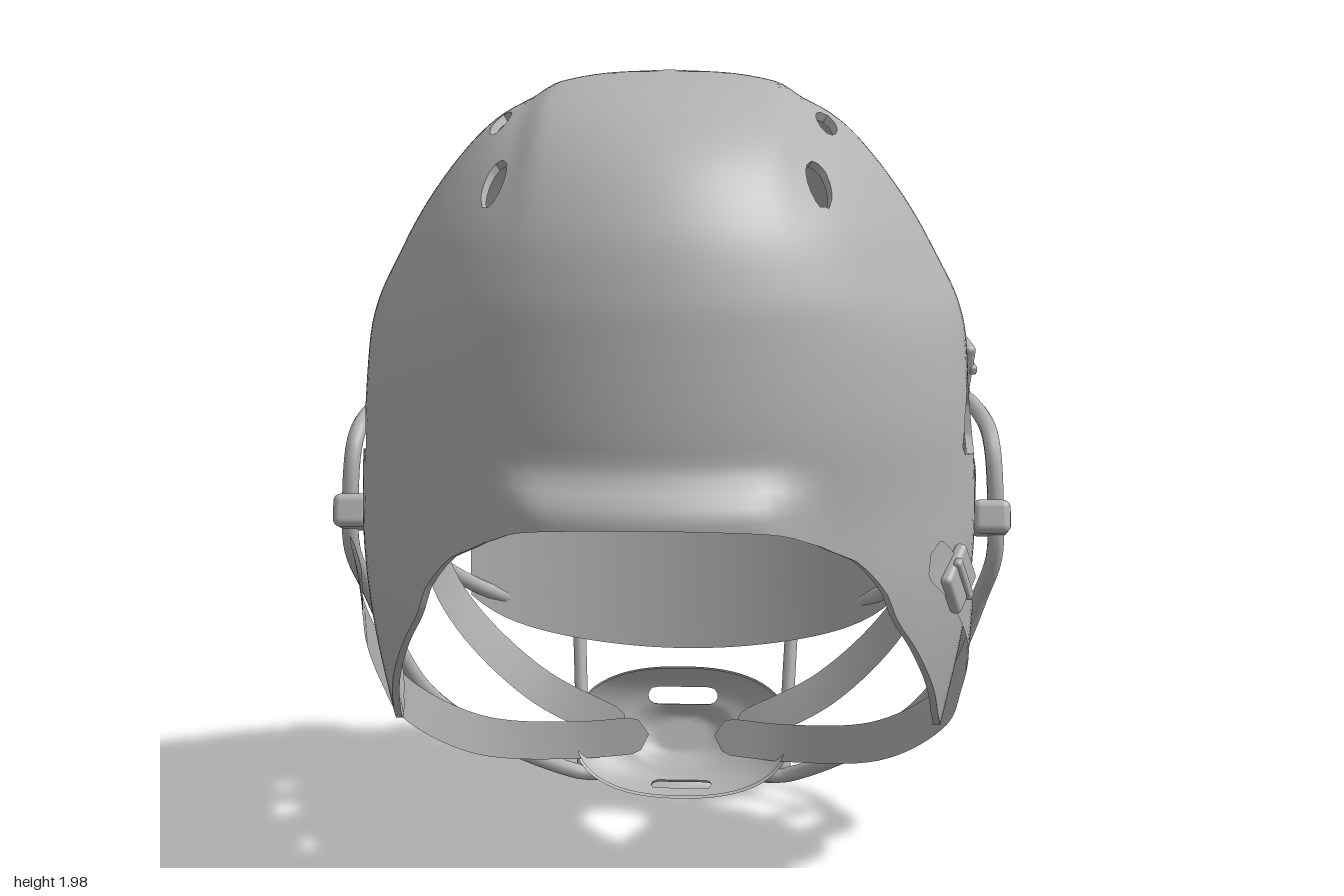
import * as THREE from 'three';
import { toCreasedNormals } from 'three/addons/utils/BufferGeometryUtils.js';
import { RoundedBoxGeometry } from 'three/addons/geometries/RoundedBoxGeometry.js';
import { ParametricGeometry } from 'three/addons/geometries/ParametricGeometry.js';

const V = (x, y, z) => new THREE.Vector3(x, y, z);
const { smoothstep, clamp, lerp } = THREE.MathUtils;

// Two-skinned wall over a grid, trimmed where keep(point) < 0, with rims along the cuts
function trimmedWall(rows, cols, skin, keep) {
  const out = [];
  const tri = (a, b, c) => out.push(...a.toArray(), ...b.toArray(), ...c.toArray());
  const vert = (i, j) => {
    const [o, n] = skin(i / rows, (j % cols) / cols);
    return { o, n, f: keep(o) };
  };
  const grid = [];
  for (let i = 0; i <= rows; i++) {
    grid.push([]);
    for (let j = 0; j <= cols; j++) grid[i].push(vert(i, j));
  }
  const clip = (t) => {
    const poly = [], cut = [];
    t.forEach((a, k) => {
      const b = t[(k + 1) % 3];
      if (a.f >= 0) poly.push(a);
      if ((a.f >= 0) !== (b.f >= 0)) {
        const s = a.f / (a.f - b.f);
        const m = { o: a.o.clone().lerp(b.o, s), n: a.n.clone().lerp(b.n, s), leaving: a.f >= 0 };
        poly.push(m);
        cut.push(m);
      }
    });
    for (let k = 1; k + 1 < poly.length; k++) {
      tri(poly[0].o, poly[k].o, poly[k + 1].o);
      tri(poly[0].n, poly[k + 1].n, poly[k].n);
    }
    if (cut.length === 2) {
      const [a, b] = cut[0].leaving ? cut : [cut[1], cut[0]];
      tri(b.o, a.o, a.n);
      tri(b.o, a.n, b.n);
    }
  };
  for (let i = 0; i < rows; i++) for (let j = 0; j < cols; j++) {
    const a = grid[i][j], b = grid[i + 1][j], c = grid[i + 1][j + 1], d = grid[i][j + 1];
    if (i > 0) clip([a, c, d]);
    clip([a, b, c]);
  }
  const g = new THREE.BufferGeometry();
  g.setAttribute('position', new THREE.Float32BufferAttribute(out, 3));
  return toCreasedNormals(g, 0.7);
}

// Shell sections: height, half width, face-side z, nape-side z
const SECTIONS = [
  [2, 0, 0, 0], [1.99, 0.17, -0.13, 0.16], [1.96, 0.3, -0.25, 0.35], [1.9, 0.42, -0.385, 0.525],
  [1.8, 0.52, -0.5, 0.662], [1.66, 0.62, -0.62, 0.755], [1.52, 0.692, -0.71, 0.797], [1.4, 0.73, -0.757, 0.81],
  [1.2, 0.76, -0.78, 0.815], [1, 0.765, -0.79, 0.8], [0.8, 0.76, -0.79, 0.8],
  [0.6, 0.735, -0.78, 0.78], [0.34, 0.68, -0.75, 0.74],
];
const depthCurve = new THREE.CatmullRomCurve3(SECTIONS.map(([y, , f, b]) => V(f, y, b)), false, 'catmullrom');
const widthCurve = new THREE.CatmullRomCurve3(SECTIONS.map(([y, w]) => V(w, y, 0)), false, 'catmullrom');

// Lower rim height along z, from brow to jaw to nape
const RIM = [[-0.9, 1.22], [-0.6, 1.2], [-0.4, 1.15], [-0.28, 1.05], [-0.2, 0.85], [-0.13, 0.6], [-0.04, 0.44],
  [0.04, 0.39], [0.11, 0.38], [0.22, 0.44], [0.4, 0.6], [0.53, 0.73], [0.57, 0.81], [0.63, 0.89], [0.7, 0.94], [0.78, 0.975], [0.95, 1.02]];
function rimHeight(z) {
  let k = 0;
  while (k < RIM.length - 2 && RIM[k + 1][0] < z) k++;
  const [a, b] = [RIM[k], RIM[k + 1]];
  return lerp(a[1], b[1], clamp((z - a[0]) / (b[0] - a[0]), 0, 1));
}

const VENTS = [[0, 0.365, 0.024, 0.062], [0.25, 0.387, 0.025, 0.072], [0.52, 0.372, 0.03, 0.052]];
const EAR = [[0.28, 1.09], [0.24, 1.18], [0.17, 1.25], [0.11, 1.29], [0.02, 1.275], [-0.02, 1.17], [-0.01, 1.09], [0.03, 1.06]];
function shellKeep(p) {
  let f = p.y - rimHeight(p.z);
  if (p.y > 1.5) for (const [z, x, rx, rz] of VENTS)
    f = Math.min(f, (Math.hypot((Math.abs(p.x) - x) / rx, (p.z - z) / rz) - 1) * rx);
  const ear = Math.max(...EAR.map(([z, y], k) => {
    const [z2, y2] = EAR[(k + 1) % EAR.length];
    return ((p.z - z) * (y2 - y) - (p.y - y) * (z2 - z)) / Math.hypot(z2 - z, y2 - y);
  }));
  return Math.min(f, ear);
}
function shellSkin(u, v) {
  const d = depthCurve.getPoint(u), a = v * Math.PI * 2;
  const zc = (d.x + d.z) / 2, hz = (d.z - d.x) / 2;
  let x = widthCurve.getPoint(u).x * Math.sin(a), y = d.y, z = zc + hz * Math.cos(a);
  // raised crown band, ear recess and flared nape lip
  const step = 1 - 0.024 * smoothstep(Math.abs(x), 0.26, 0.35) * smoothstep(y, 1.35, 1.6) * (1 - smoothstep(z, 0.45, 0.75));
  const recess = 1 - 0.02 * Math.exp(-(((z - 0.05) / 0.2) ** 2) - ((y - 1.2) / 0.15) ** 2);
  const lip = (1 - smoothstep(Math.abs(x), 0.24, 0.42)) * smoothstep(z, 0.6, 0.75) * (1 - smoothstep(y, 1.02, 1.13));
  x *= step * recess;
  z = zc + (z - zc) * step + 0.08 * lip;
  y = 1 + (y - 1) * (0.4 + 0.6 * step);
  return [V(x, y, z), V(x * 0.975, y - 0.02 * clamp((y - 1.2) / 0.8, 0, 1), zc + (z - zc) * 0.975)];
}

export function createModel() {
  const root = new THREE.Group();
  root.name = 'helmet';
  const grey = new THREE.MeshStandardMaterial({ color: 0xb2b2b2, side: THREE.DoubleSide });
  grey.name = 'plain grey';
  const add = (name, geometry, pos) => {
    const m = new THREE.Mesh(geometry, grey);
    m.name = name;
    if (pos) m.position.copy(pos);
    root.add(m);
    return m;
  };
  const sheet = (fn, nu, nv) => {
    const g = new ParametricGeometry(fn, nu, nv);
    g.computeVertexNormals();
    return g;
  };

  add('shell', trimmedWall(78, 144, shellSkin, shellKeep));

  // Visor: arc plate with a lower edge that rises to the sides
  add('visor', sheet((u, v, t) => {
    const x = lerp(-0.58, 0.58, u), e = Math.abs(x / 0.58);
    const low = 0.385 + 0.13 * e * e + 0.05 * e ** 8;
    t.set(x, lerp(low, 1.25, v), 0.31 - Math.sqrt(1.07 ** 2 - x * x) + 0.01);
  }, 40, 6));

  // Cage: two mirrored closed loops plus struts
  const loop = (name, half) => {
    const pts = half.map((p) => V(...p));
    const back = pts.slice(1, -1).reverse().map((p) => V(-p.x, p.y, p.z));
    const curve = new THREE.CatmullRomCurve3([...pts, ...back], true);
    add(name, new THREE.TubeGeometry(curve, 220, 0.021, 10, true));
  };
  loop('cageOuterLoop', [[0, 1.29, -0.83], [0.3, 1.28, -0.8], [0.55, 1.24, -0.66], [0.7, 1.18, -0.45], [0.79, 1.12, -0.2],
    [0.81, 1.06, -0.09], [0.82, 0.9, -0.06], [0.82, 0.78, -0.08], [0.79, 0.66, -0.16], [0.74, 0.5, -0.25],
    [0.67, 0.36, -0.31], [0.5, 0.18, -0.48], [0.29, 0.05, -0.65], [0.25, 0.045, -0.66], [0, 0.045, -0.66]]);
  loop('cageEyeLoop', [[0, 1.13, -0.86], [0.35, 1.11, -0.79], [0.6, 1.06, -0.6], [0.74, 1.02, -0.36], [0.76, 0.97, -0.29],
    [0.75, 0.84, -0.31], [0.7, 0.73, -0.4], [0.55, 0.58, -0.6], [0.3, 0.47, -0.77], [0, 0.44, -0.81]]);
  const strut = (name, a, b) => add(name, new THREE.TubeGeometry(new THREE.LineCurve3(a, b), 1, 0.018, 10));

  // Straps: ribbons lying flat around the head
  const strap = (name, pts, width) => {
    const curve = new THREE.CatmullRomCurve3(pts);
    add(name, sheet((u, v, t) => {
      const p = curve.getPoint(u);
      const across = curve.getTangent(u).cross(V(p.x, 0, p.z).normalize()).normalize();
      // rounded tips
      const tip = Math.sqrt(1 - (1 - clamp(Math.min(u, 1 - u) / 0.04, 0, 1)) ** 2);
      t.copy(p).addScaledVector(across, (v - 0.5) * width * tip);
    }, 60, 2));
  };
  const buckle = (name, x, y, z, roll) => {
    const m = add(name, new RoundedBoxGeometry(0.13, 0.12, 0.03, 2, 0.012), V(x, y, z));
    m.lookAt(x * 3, y, z * 3);
    m.rotateZ(roll);
    const bar = new THREE.Mesh(new RoundedBoxGeometry(0.025, 0.13, 0.02, 2, 0.008), grey);
    bar.name = name + 'Bar';
    bar.position.z = 0.014;
    m.add(bar);
  };

  for (const s of [-1, 1]) {
    const side = s > 0 ? 'left' : 'right';
    const P = (x, y, z) => V(s * x, y, z);
    strut(side + 'EyeStrut', P(0.55, 1.07, -0.65), P(0.5, 0.55, -0.65));
    strut(side + 'ChinStrut', P(0.3, 0.47, -0.77), P(0.28, 0.05, -0.66));
    strut(side + 'SideBrace', P(0.68, 1.04, -0.48), P(0.74, 0.5, -0.25));

    // clamp and screw holding the cage at the ear
    const clampBox = add(side + 'SideClamp', new RoundedBoxGeometry(0.095, 0.085, 0.15, 3, 0.02), P(0.807, 0.88, -0.06));
    clampBox.rotation.x = -0.25;
    const screw = add(side + 'SideScrew', new THREE.CylinderGeometry(0.022, 0.022, 0.015, 16), P(0.853, 0.87, -0.1));
    screw.rotation.z = Math.PI / 2;
    const knob = add(side + 'BrowKnob', new THREE.CylinderGeometry(0.03, 0.035, 0.04, 16), P(0.5, 1.28, -0.59));
    knob.quaternion.setFromUnitVectors(V(0, 1, 0), P(0.65, 0, -0.76).normalize());

    // the right strap tail stands away from the shell
    strap(side + 'LowerStrap', [P(s > 0 ? 0.64 : 0.73, 0.88, s > 0 ? 0.45 : 0.4), P(s > 0 ? 0.71 : 0.735, 0.78, 0.32),
      P(0.752, 0.63, 0.13), P(0.735, 0.48, -0.05), P(0.7, 0.36, -0.19), P(0.53, 0.21, -0.41), P(0.3, 0.17, -0.53),
      P(0.09, 0.18, -0.57)], 0.105);
    strap(side + 'UpperStrap', [P(0.705, 1.39, -0.2), P(0.74, 1.25, -0.25), P(0.735, 1.1, -0.3), P(0.69, 0.86, -0.37),
      P(0.61, 0.58, -0.45), P(0.4, 0.33, -0.53), P(0.15, 0.19, -0.57)], 0.095);
  }
  buckle('lowerBuckle', 0.71, 0.8, 0.335, 0.65);
  buckle('upperBuckle', 0.735, 1.26, -0.25, -1.2);

  // Brow bumper plate and its two cage clips
  add('browBumper', sheet((u, v, t) => {
    const a = lerp(-0.36, 0.36, u), b = lerp(-1, 1, v);
    t.set(0.78 * Math.sin(a), 1.29 + 0.085 * b, -0.8 * Math.cos(a) + 0.03 * b ** 4);
  }, 24, 8));
  for (const x of [-0.14, 0.17]) {
    const clip = add('browClip', new RoundedBoxGeometry(0.08, 0.16, 0.1, 3, 0.02), V(x, 1.3, -0.83));
    clip.rotation.x = 0.2;
    const screw = add('browClipScrew', new THREE.CylinderGeometry(0.02, 0.02, 0.02, 14), V(x, 1.32, -0.874));
    screw.rotation.x = Math.PI / 2;
  }

  // Chin cup: rounded bowl with a raised boss and two slots
  const cup = add('chinCup', trimmedWall(24, 64, (r, v) => {
    const a = -v * Math.PI * 2, c = Math.cos(a), s = Math.sin(a);
    const k = r / (Math.abs(c) ** 2.4 + Math.abs(s) ** 2.4) ** (1 / 2.4);
    const z = 0.04 - 0.08 * (1 - r ** 4) - 0.03 * (1 - smoothstep(r, 0.25, 0.55));
    return [V(0.3 * k * c, 0.182 * k * s, z), V(0.292 * k * c, 0.176 * k * s, z + 0.015)];
  }, (p) => Math.min(...[0.11, -0.145].map((y, i) =>
    Math.hypot(Math.max(0, Math.abs(p.x) - 0.075), p.y - y) - (i ? 0.012 : 0.024)))), V(0, 0.175, -0.605));
  cup.rotation.x = -0.33;

  return root;
}
